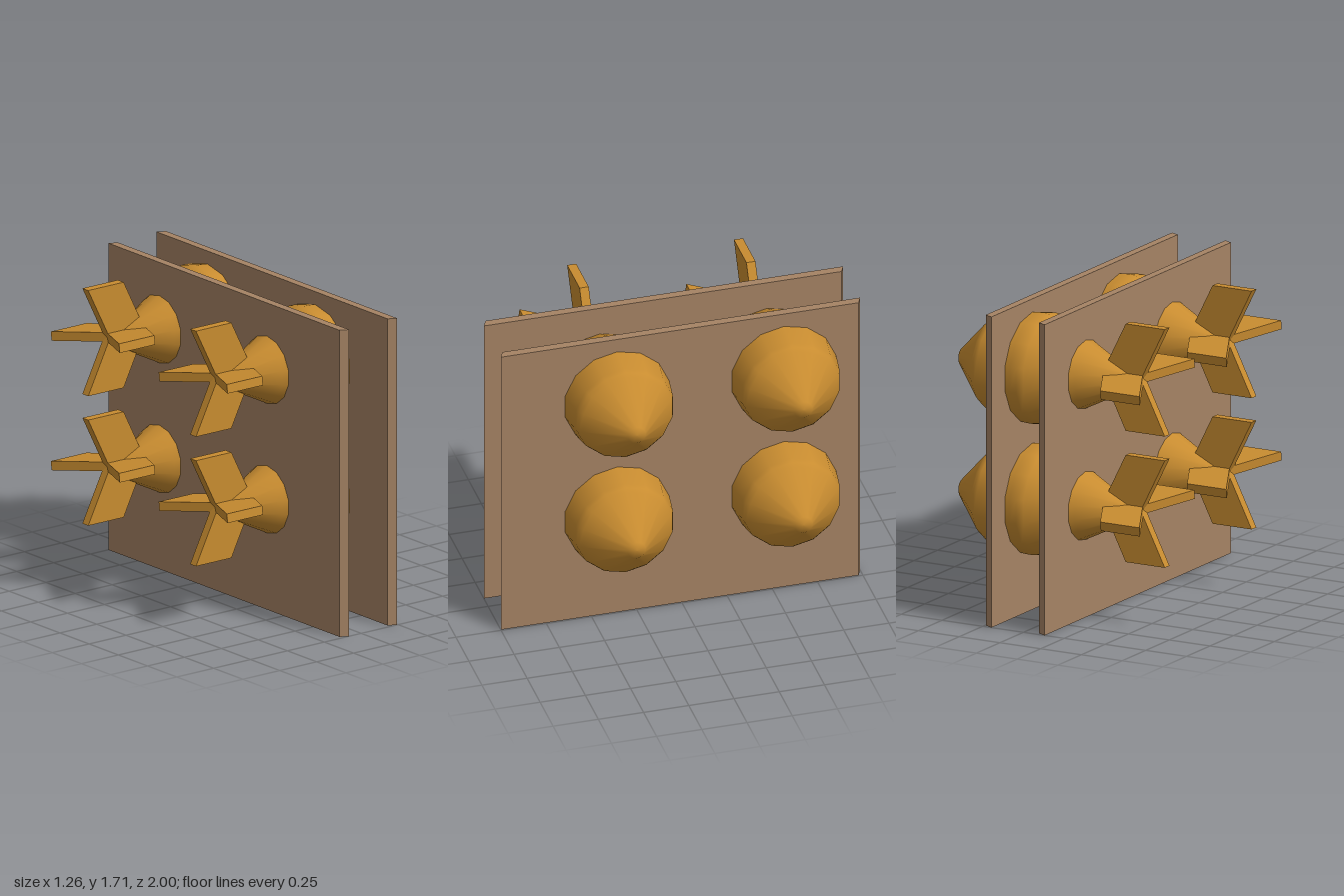
import * as THREE from 'three';

const shell = new THREE.MeshStandardMaterial({ color: 0xc88c30 });
shell.name = 'ochre shell';
const board = new THREE.MeshStandardMaterial({ color: 0xa58364 });
board.name = 'brown board';

function part(name, geometry, material) {
  const mesh = new THREE.Mesh(geometry, material);
  mesh.name = name;
  return mesh;
}

// Body turned around the x axis, nose towards +x
function bodyGeometry() {
  const profile = [
    [0, -0.407], [0.05, -0.405], [0.172, -0.16], [0.298, 0.085], [0.305, 0.125], [0.304, 0.165],
    [0.289, 0.29], [0.274, 0.385], [0.264, 0.41], [0.246, 0.432], [0.049, 0.624], [0, 0.628],
  ].map(([r, x]) => new THREE.Vector2(r, x));
  return new THREE.LatheGeometry(profile, 14, Math.PI / 2).rotateZ(-Math.PI / 2);
}

// Swept pair of fins: one chevron plate through the axis
function finGeometry() {
  const reach = 0.294, thick = 0.05;
  const outline = new THREE.Shape([
    [-0.63, reach], [-0.483, 0], [-0.63, -reach], [-0.39, -reach], [-0.243, 0], [-0.39, reach],
  ].map(([x, y]) => new THREE.Vector2(x, y)));
  return new THREE.ExtrudeGeometry(outline, { depth: thick, bevelEnabled: false })
    .translate(0, 0, -thick / 2);
}

// Upright board whose narrow ends are cut at a slant
function boardGeometry() {
  const height = 1.707, w = 0.0235;
  const plan = new THREE.Shape([
    [-w, 1], [-w, -0.978], [w, -1], [w, 0.978],
  ].map(([x, z]) => new THREE.Vector2(x, z)));
  // plan y becomes -z once the extrusion is stood upright
  return new THREE.ExtrudeGeometry(plan, { depth: height, bevelEnabled: false })
    .rotateX(-Math.PI / 2);
}

export function createModel() {
  const model = new THREE.Group();
  model.name = 'finnedShellRack';

  const body = bodyGeometry();
  const fin = finGeometry();
  const tilt = 0.127;

  // Four shells, two rows of two
  for (const y of [0.614, 1.335]) {
    for (const z of [-0.565, 0.357]) {
      const bomb = new THREE.Group();
      bomb.name = 'finnedShell';
      bomb.position.set(0, y, z);
      const upright = part('uprightFins', fin, shell);
      const level = part('sideFins', fin, shell);
      level.rotation.x = Math.PI / 2 - tilt;
      upright.position.y = level.position.y = 0.024;
      bomb.add(part('body', body, shell), upright, level);
      model.add(bomb);
    }
  }

  // Two boards holding the shells
  const plate = boardGeometry();
  for (const [name, x] of [['rearBoard', -0.106], ['noseBoard', 0.22]]) {
    const mesh = part(name, plate, board);
    mesh.position.x = x;
    model.add(mesh);
  }
  return model;
}
